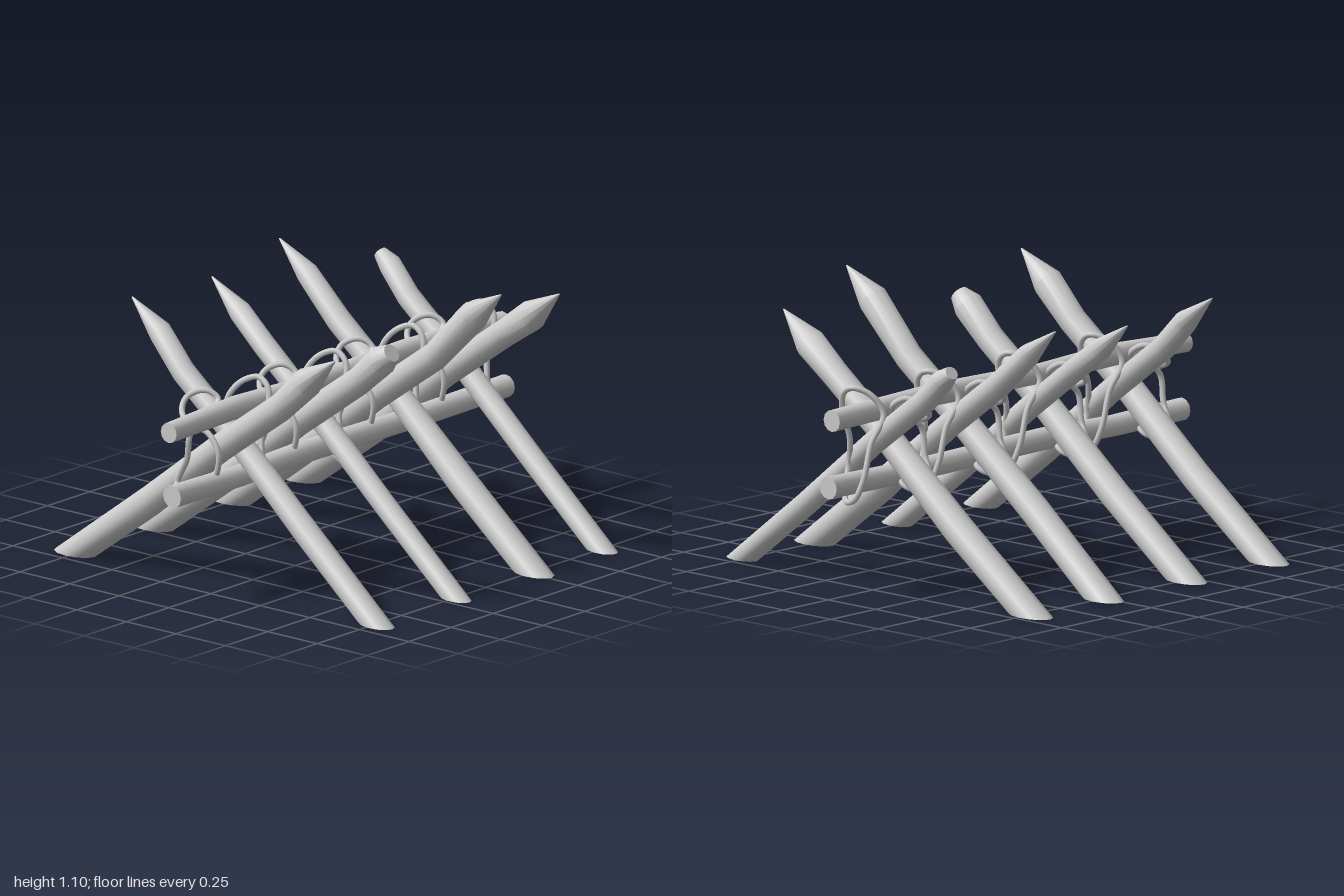
import * as THREE from 'three';
import { toCreasedNormals } from 'three/addons/utils/BufferGeometryUtils.js';

const V = (x, y, z) => new THREE.Vector3(x, y, z);
const SIDES = 12;

// Round pole through rings [x, y, z, radius]; a ring at y = 0 is cut flat on the ground
function poleGeometry(rings) {
  const centers = rings.map(r => V(r[0], r[1], r[2]));
  const dir = centers[centers.length - 1].clone().sub(centers[0]).normalize();
  const u = V(dir.y, -dir.x, 0).normalize();
  if (Math.abs(dir.z) > 0.9) u.set(1, 0, 0);
  const v = dir.clone().cross(u).normalize();
  const pos = [], index = [];
  centers.forEach((c, i) => {
    for (let j = 0; j < SIDES; j++) {
      const a = (j / SIDES) * Math.PI * 2;
      const p = c.clone()
        .addScaledVector(u, Math.cos(a) * rings[i][3])
        .addScaledVector(v, Math.sin(a) * rings[i][3]);
      if (c.y === 0) p.addScaledVector(dir, -p.y / dir.y);
      pos.push(p.x, p.y, p.z);
    }
  });
  const last = (rings.length - 1) * SIDES, c0 = rings.length * SIDES;
  pos.push(...centers[0].toArray(), ...centers[centers.length - 1].toArray());
  for (let j = 0; j < SIDES; j++) {
    const k = (j + 1) % SIDES;
    for (let i = 0; i < last; i += SIDES) {
      index.push(i + j, i + k, i + SIDES + k, i + j, i + SIDES + k, i + SIDES + j);
    }
    index.push(c0, k, j, c0 + 1, last + j, last + k);
  }
  const g = new THREE.BufferGeometry();
  g.setAttribute('position', new THREE.Float32BufferAttribute(pos, 3));
  g.setIndex(index);
  return toCreasedNormals(g, 0.6);
}

// Leaning stake: side is the direction its top leans, z lists foot, quarter, middle and top
function stakeGeometry(side, z, radius, tip, blunt) {
  const [zFoot, zLow, zMid, zTop] = z;
  const x = tip[0], y = tip[1];
  const back = blunt ? 0.05 : 0.14; // length of the shaped end
  const rings = [
    [-0.76, 0, zFoot, radius[0]],
    [-0.38, 0.28, zLow, radius[0]],
    [0, 0.575, zMid, radius[1]],
    [0.3, 0.79, (zMid + zTop) / 2, radius[1]],
    [x - back, y - back * 0.8, zTop, radius[2]],
    [x, y, zTop, blunt ? radius[2] * 0.6 : 0.003],
  ];
  return poleGeometry(rings.map(r => [r[0] * side, ...r.slice(1)]));
}

const closedRope = pts => new THREE.TubeGeometry(
  new THREE.CatmullRomCurve3(pts.map(p => V(...p)), true, 'centripetal'), 90, 0.012, 7, true);

export function createModel() {
  const group = new THREE.Group();
  const mat = new THREE.MeshStandardMaterial({ color: 0xcccccc });
  const add = (name, geo, z = 0) => {
    const m = new THREE.Mesh(geo, mat);
    m.name = name;
    m.position.z = z;
    group.add(m);
  };

  // Long rails lying above and below the crossings
  add('upperRail', poleGeometry([
    [0, 0.7, -0.98, 0.043], [0, 0.715, -0.4, 0.045], [0, 0.705, 0.2, 0.04],
    [0, 0.715, 0.6, 0.045], [0, 0.7, 1, 0.04]]));
  add('lowerRail', poleGeometry([
    [0, 0.44, -1, 0.045], [0, 0.435, -0.5, 0.043], [0, 0.445, 0.2, 0.045],
    [0, 0.435, 0.6, 0.043], [0, 0.44, 0.98, 0.045]]));

  // Front stakes lean to the left, rear stakes lean to the right
  const thick = [0.06, 0.056, 0.061], thin = [0.052, 0.048, 0.047];
  const stations = [
    { front: [[0.66, 0.66, 0.68, 0.695], thick, [0.58, 1.03]],
      rear: [[0.66, 0.62, 0.585, 0.535], thin, [0.58, 1.03]] },
    { front: [[0.2, 0.205, 0.22, 0.235], thick, [0.475, 0.94], true],
      rear: [[0.19, 0.15, 0.115, 0.05], [0.045, 0.046, 0.045], [0.59, 1.0]] },
    { front: [[-0.265, -0.235, -0.235, -0.225], thick, [0.635, 1.1]],
      rear: [[-0.27, -0.3, -0.335, -0.385], [0.06, 0.05, 0.045], [0.62, 1.05]] },
    { front: [[-0.67, -0.67, -0.655, -0.635], [0.063, 0.055, 0.061], [0.58, 1.0]],
      rear: [[-0.675, -0.715, -0.75, -0.8], [0.047, 0.047, 0.046], [0.465, 0.93], true] },
  ];

  // Lashings: one loop round both rails, one round the front stake
  const railLoop = closedRope([
    [0.01, 0.365, -0.23], [-0.05, 0.39, -0.245], [-0.08, 0.47, -0.23], [-0.08, 0.6, -0.19],
    [-0.09, 0.71, -0.13], [-0.05, 0.785, -0.16], [0.01, 0.81, -0.2], [0.06, 0.775, -0.2],
    [0.075, 0.69, -0.18], [0.07, 0.6, -0.15], [0.095, 0.48, -0.13], [0.075, 0.405, -0.17]]);
  const stakeLoop = closedRope([
    [0.035, 0.57, 0.065], [-0.02, 0.64, 0.065], [-0.1, 0.66, 0.08], [-0.18, 0.7, 0.03],
    [-0.185, 0.74, -0.01], [-0.13, 0.765, -0.05], [-0.08, 0.73, -0.07], [-0.1, 0.63, 0.07],
    [-0.12, 0.52, 0.07], [-0.185, 0.41, 0.05], [-0.155, 0.38, 0.08], [-0.06, 0.4, 0.02],
    [0.02, 0.49, 0.055]]);

  stations.forEach(({ front, rear }, i) => {
    add(`frontStake${i + 1}`, stakeGeometry(1, ...front));
    add(`rearStake${i + 1}`, stakeGeometry(-1, ...rear));
    add(`railLashing${i + 1}`, railLoop, front[0][2]);
    add(`stakeLashing${i + 1}`, stakeLoop, front[0][2]);
  });
  return group;
}
